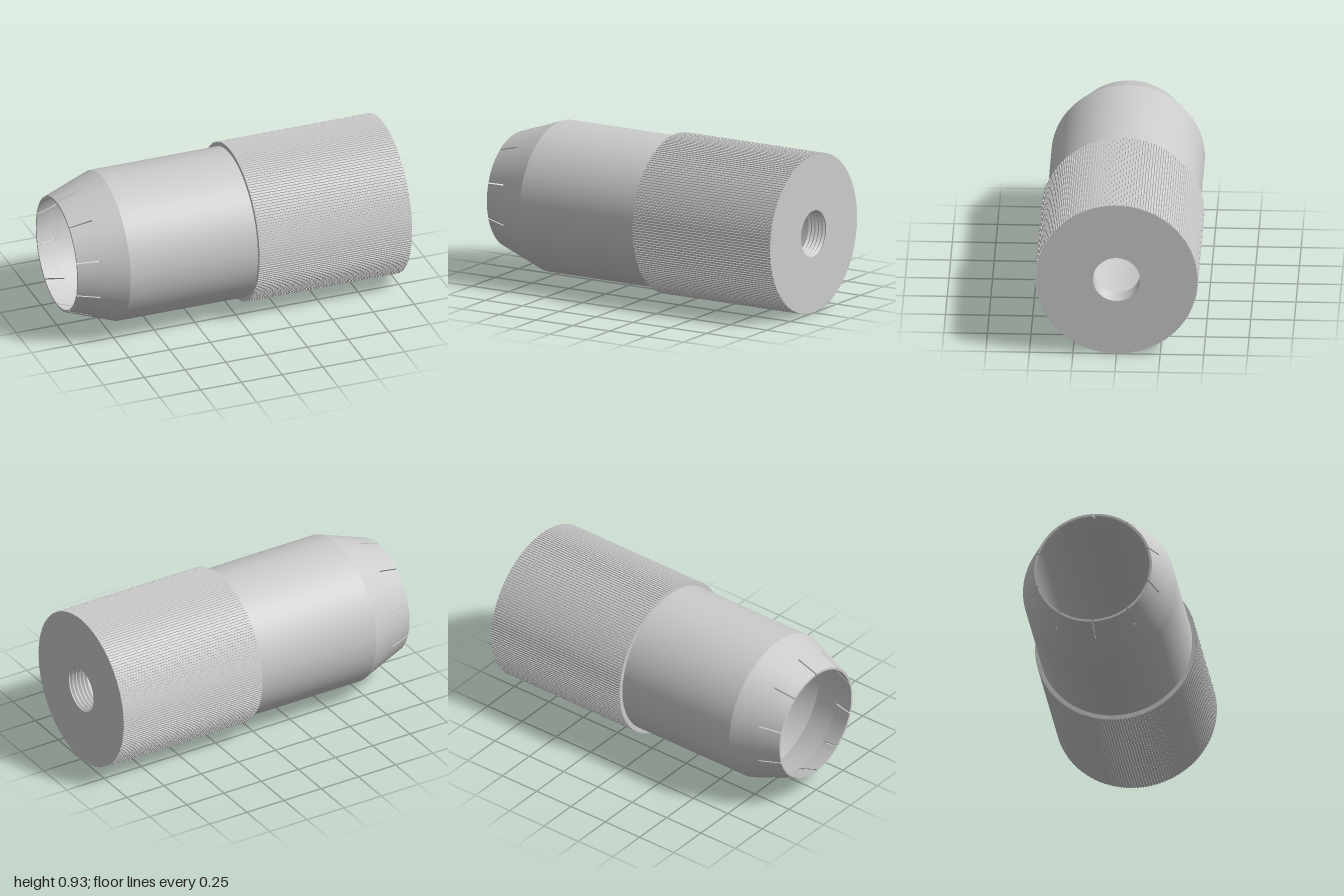
import * as THREE from 'three';
import { mergeGeometries, toCreasedNormals } from 'three/addons/utils/BufferGeometryUtils.js';

const AXIS_Y = 0.467;
const SLIT_X = -0.87;

// Taper radii at a position along the axis
const outerR = (x) => 0.34 + (0.1 * (x + 1)) / 0.285;
const innerR = (x) => outerR(x) - 0.014;

const points = (list) => list.map(([r, x]) => new THREE.Vector2(r, x));

// Revolve [radius, position] pairs about the x axis
function revolve(profile, segments, start = 0, length = Math.PI * 2) {
  const lathe = new THREE.LatheGeometry(points(profile), segments, start, length);
  return toCreasedNormals(lathe, 0.25).rotateZ(-Math.PI / 2);
}

export function createModel() {
  const group = new THREE.Group();
  const material = new THREE.MeshStandardMaterial({ color: 0xcccccc, side: THREE.DoubleSide });
  const add = (name, geometry) => {
    const mesh = new THREE.Mesh(geometry, material);
    mesh.name = name;
    mesh.position.y = AXIS_Y;
    group.add(mesh);
  };

  // Hollow body with a tapered nose and a threaded hole in the end wall
  const body = [[outerR(SLIT_X), SLIT_X], [0.44, -0.715], [0.44, 1], [0.135, 1]];
  const turns = 5, pitch = 0.024;
  for (let i = 0; i < turns; i++) {
    const x = 1 - i * pitch;
    body.push([0.135, x - 0.004], [0.145, x - pitch * 0.55], [0.135, x - pitch]);
  }
  body.push([0.42, 1 - turns * pitch], [0.42, -0.7], [innerR(SLIT_X), SLIT_X], [outerR(SLIT_X), SLIT_X]);
  add('body', revolve(body, 180));

  // Nose fingers separated by ten narrow slits
  const count = 10, step = (Math.PI * 2) / count, slit = 0.022;
  const finger = [
    [innerR(-1), -1], [outerR(-1), -1], [outerR(SLIT_X), SLIT_X],
    [innerR(SLIT_X), SLIT_X], [innerR(-1), -1],
  ];
  for (let i = 0; i < count; i++) {
    const start = -Math.PI / 2 + i * step + slit / 2;
    const end = start + step - slit;
    const parts = [revolve(finger, 18, start, step - slit)];
    for (const phi of [start, end]) {
      const wall = new THREE.ShapeGeometry(new THREE.Shape(points(finger.slice(0, 4))));
      parts.push(wall.toNonIndexed().rotateY(phi - Math.PI / 2).rotateZ(-Math.PI / 2));
    }
    add(`noseFinger${i + 1}`, mergeGeometries(parts));
  }

  // Grip sleeve with fine straight knurling
  const teeth = 180, outline = [];
  for (let i = 0; i < teeth; i++) {
    for (const [t, r] of [[0, 0.467], [0.6, 0.467], [0.7, 0.4625], [0.9, 0.4625]]) {
      const a = ((i + t) / teeth) * Math.PI * 2;
      outline.push(new THREE.Vector2(r * Math.cos(a), r * Math.sin(a)));
    }
  }
  const ring = new THREE.Shape(outline);
  ring.holes.push(new THREE.Path().absarc(0, 0, 0.437, 0, Math.PI * 2, true));
  const sleeve = new THREE.ExtrudeGeometry(ring, { depth: 0.935, bevelEnabled: false, curveSegments: 90 });
  add('knurledSleeve', sleeve.rotateY(Math.PI / 2).translate(0.065, 0, 0));

  return group;
}
